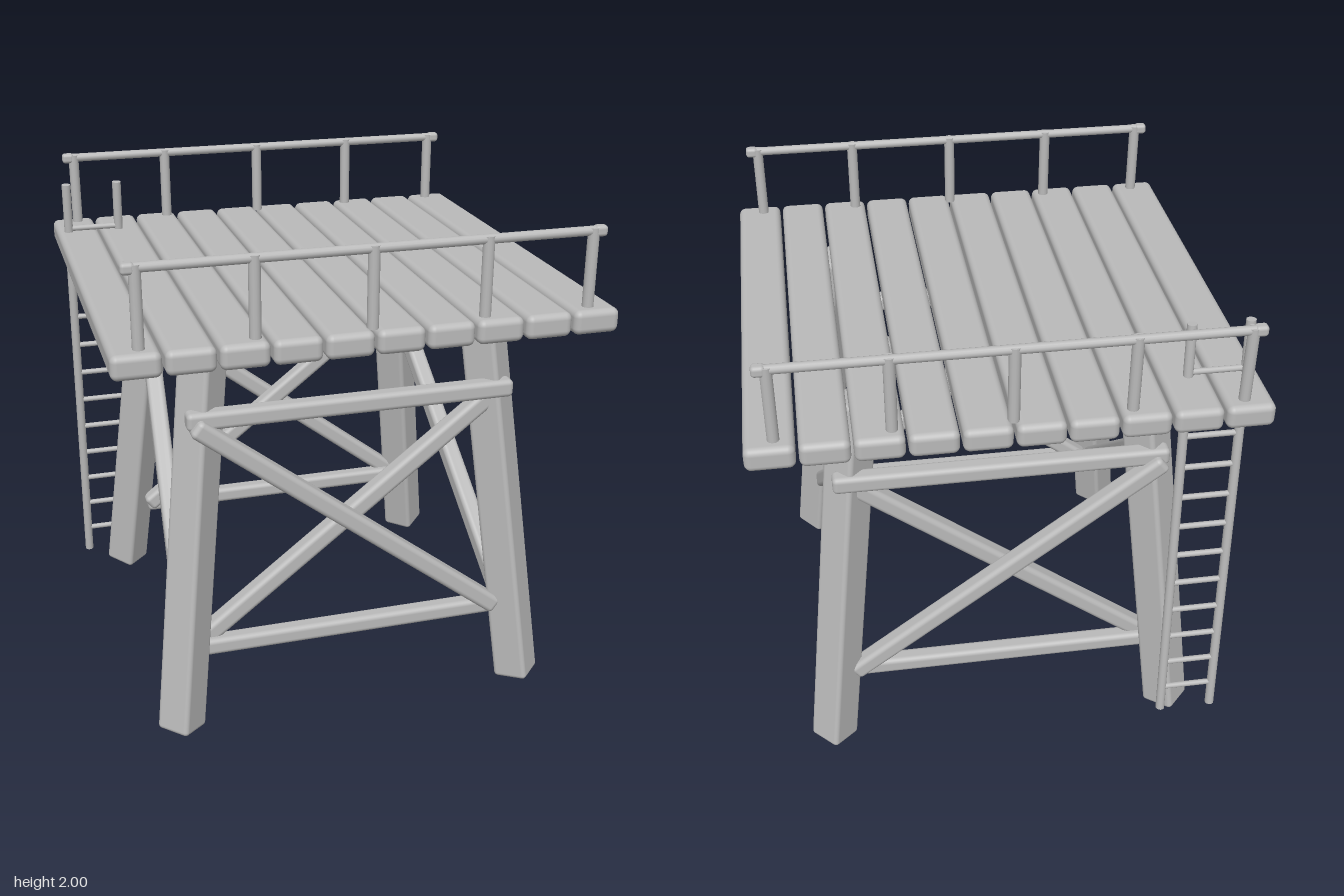
import * as THREE from 'three';
import { RoundedBoxGeometry } from 'three/addons/geometries/RoundedBoxGeometry.js';

export function createModel() {
  const model = new THREE.Group();
  model.name = 'watchPlatform';
  const wood = new THREE.MeshStandardMaterial({ color: 0xbababa });
  wood.name = 'greyWood';

  const add = (name, geometry, parent = model) => {
    const mesh = new THREE.Mesh(geometry, wood);
    mesh.name = name;
    parent.add(mesh);
    return mesh;
  };
  const group = (name) => {
    const g = new THREE.Group();
    g.name = name;
    model.add(g);
    return g;
  };
  // Rounded timber running from a to b, one pair of faces kept upright
  const timber = (name, a, b, thick, radius, parent) => {
    const from = new THREE.Vector3(...a), to = new THREE.Vector3(...b);
    const mesh = add(name, new RoundedBoxGeometry(thick, thick, from.distanceTo(to), 3, radius), parent);
    mesh.position.copy(from).add(to).multiplyScalar(0.5);
    mesh.lookAt(to);
    return mesh;
  };
  // Round pole running from a to b
  const pole = (name, a, b, radius, parent) => {
    const from = new THREE.Vector3(...a), to = new THREE.Vector3(...b);
    const mesh = add(name, new THREE.CylinderGeometry(radius, radius, from.distanceTo(to), 14), parent);
    mesh.position.copy(from).add(to).multiplyScalar(0.5);
    mesh.quaternion.setFromUnitVectors(new THREE.Vector3(0, 1, 0), to.sub(from).normalize());
    return mesh;
  };

  // Deck planks
  const deck = group('deck');
  for (let i = 0; i < 10; i++) {
    const plank = add('plank', new RoundedBoxGeometry(0.18, 0.094, 1.85, 4, 0.026), deck);
    plank.position.set(-0.857 + i * 0.1905, 1.644, 0);
  }

  // Four splayed legs, turned to face the corners
  const legs = group('legs');
  for (const sx of [-1, 1]) for (const sz of [-1, 1]) {
    timber('leg', [sx * 0.725, 0.011, sz * 0.72], [sx * 0.55, 1.62, sz * 0.547], 0.143, 0.018, legs);
  }

  // Front and back: two beams and a cross; each side: one diagonal
  const bracing = group('bracing');
  for (const s of [-1, 1]) {
    timber('upperBeam', [-0.65, 1.31, s * 0.652], [0.65, 1.31, s * 0.652], 0.072, 0.02, bracing);
    timber('lowerBeam', [-0.62, 0.33, s * 0.65], [0.62, 0.33, s * 0.65], 0.07, 0.02, bracing);
    timber('outerCrossBrace', [-0.625, 1.3, s * 0.684], [0.62, 0.34, s * 0.684], 0.074, 0.02, bracing);
    timber('innerCrossBrace', [0.61, 1.3, s * 0.62], [-0.62, 0.34, s * 0.62], 0.074, 0.02, bracing);
    timber('sideBrace', [s * 0.59, 1.31, -0.58], [s * 0.68, 0.295, 0.68], 0.076, 0.02, bracing);
  }

  // Railings along the front and back edges
  for (const s of [-1, 1]) {
    const railing = group(s > 0 ? 'frontRailing' : 'backRailing');
    const z = s * 0.864;
    pole('handrail', [-0.87, 1.98, z], [0.87, 1.98, z], 0.018, railing);
    for (const x of [-0.84, -0.43, 0, 0.43, 0.84]) {
      pole('railPost', [x, 1.685, z], [x, 1.992, z], 0.022, railing);
    }
    for (const x of [-0.865, 0.865]) {
      const cap = add('railEnd', new RoundedBoxGeometry(0.05, 0.042, 0.042, 3, 0.014), railing);
      cap.position.set(x, 1.979, z);
    }
  }

  // Leaning ladder at the back corner
  const ladder = group('ladder');
  const ladderZ = (y) => -0.675 - (1.905 - y) * 0.072;
  for (const x of [-0.9, -0.68]) {
    pole('ladderRail', [x, 0.037, ladderZ(0.037)], [x, 1.905, ladderZ(1.905)], 0.019, ladder);
  }
  for (let i = 0; i < 12; i++) {
    const y = 0.157 + i * 0.1408;
    pole('rung', [-0.9, y, ladderZ(y)], [-0.68, y, ladderZ(y)], 0.012, ladder);
  }
  return model;
}
